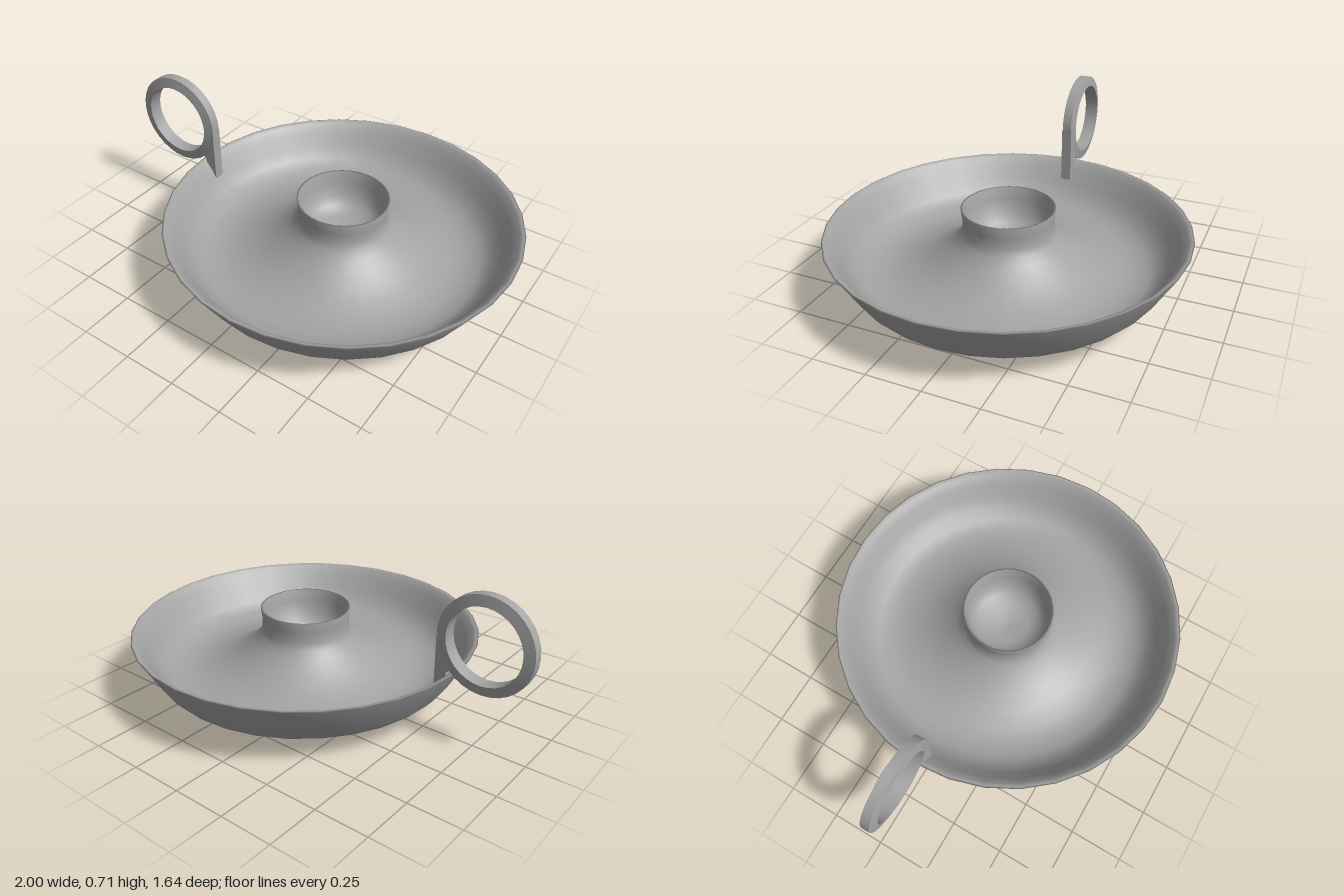
import * as THREE from 'three';
import { toCreasedNormals } from 'three/addons/utils/BufferGeometryUtils.js';

const DISH_X = 0.18;

export function createModel() {
  const model = new THREE.Group();
  model.name = 'candleHolder';
  const metal = new THREE.MeshStandardMaterial({ color: 0xa3a3a3 });
  metal.name = 'grey metal';

  const add = (name, geometry, parent) => {
    const mesh = new THREE.Mesh(geometry, metal);
    mesh.name = name;
    parent.add(mesh);
    return mesh;
  };
  // Smooth surface of revolution from [radius, height] pairs
  const turn = (profile) =>
    new THREE.LatheGeometry(profile.map(([r, y]) => new THREE.Vector2(r, y)), 32);

  // Dish and candle cup: one soft skin from the underside over the rim to the cup floor
  const dish = add('dishWithCandleCup', turn([
    // underside and outer wall
    [0, 0], [0.3, 0.003], [0.46, 0.014], [0.56, 0.04], [0.64, 0.073],
    [0.69, 0.105], [0.72, 0.138], [0.77, 0.224], [0.82, 0.308],
    // rim, inner wall and floor
    [0.812, 0.311], [0.795, 0.303], [0.765, 0.265], [0.73, 0.205], [0.69, 0.152], [0.64, 0.118],
    [0.57, 0.104], [0.5, 0.11], [0.42, 0.13], [0.35, 0.163],
    // flare and outside of the cup
    [0.29, 0.203], [0.25, 0.237], [0.222, 0.268], [0.207, 0.3], [0.206, 0.35], [0.212, 0.4],
    // inside of the cup
    [0.203, 0.4], [0.195, 0.34], [0.18, 0.28], [0.15, 0.24], [0.1, 0.215], [0, 0.205],
  ]), model);
  dish.position.x = DISH_X;

  // Finger ring, tapering towards its outer edge
  const handle = new THREE.Group();
  handle.name = 'handle';
  model.add(handle);
  const ring = add('fingerRing', toCreasedNormals(turn([
    [0.174, -0.033], [0.222, -0.022], [0.222, 0.022], [0.174, 0.033], [0.174, -0.033],
  ]), 0.3), handle);
  ring.rotation.x = Math.PI / 2;
  ring.position.set(-0.778, 0.491, 0);

  // Stem joining the ring to the inside of the dish wall
  const outline = [
    [-0.557, 0.49], [-0.585, 0.47], [-0.6, 0.41], [-0.635, 0.34],
    [-0.612, 0.32], [-0.612, 0.295], [-0.557, 0.205],
  ];
  const stem = add('handleStem', new THREE.ExtrudeGeometry(
    new THREE.Shape(outline.map(([x, y]) => new THREE.Vector2(x, y))),
    { depth: 0.05, bevelEnabled: false },
  ), handle);
  stem.position.z = -0.025;

  return model;
}
